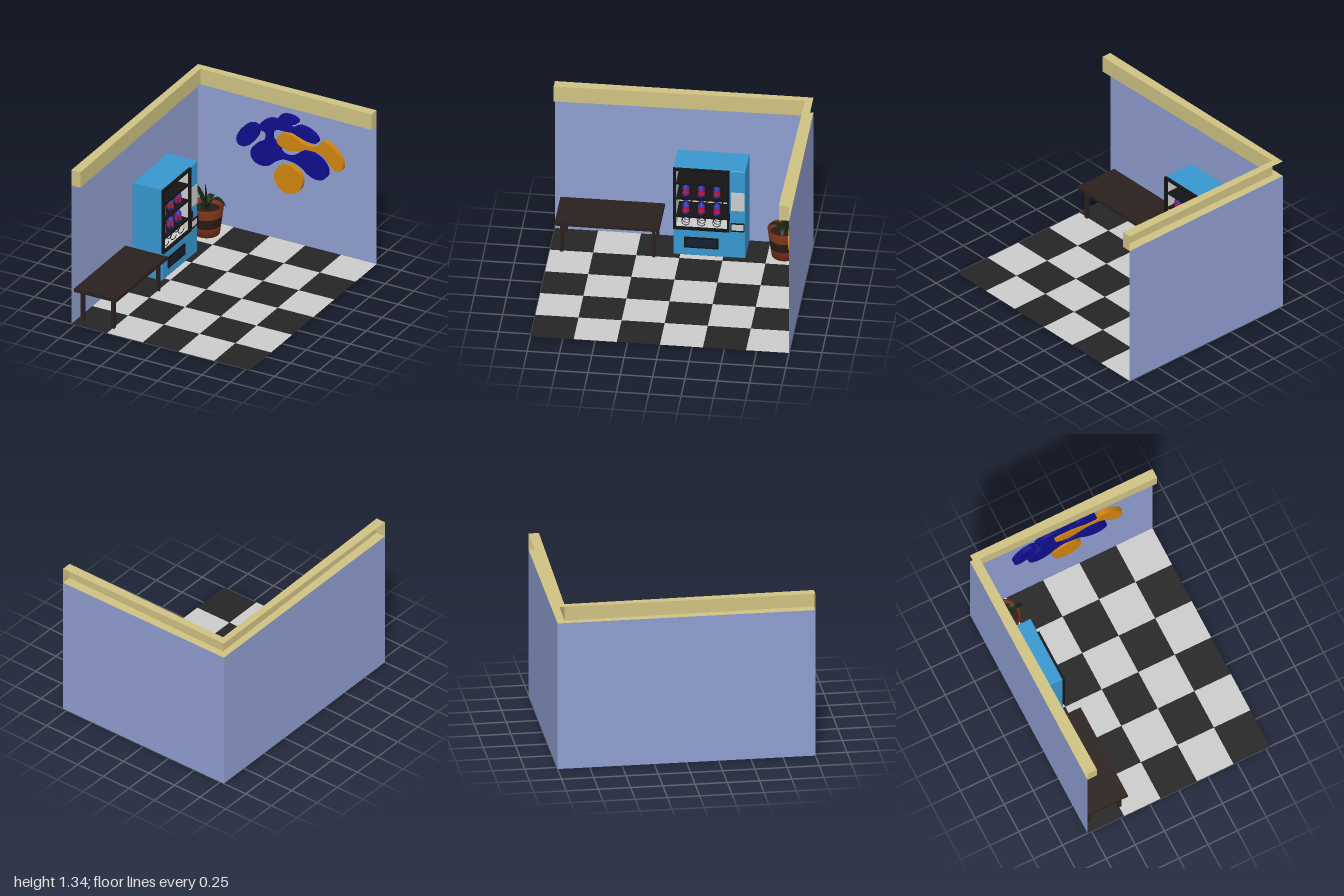
import * as THREE from 'three';

const mat = (color, double = false) =>
  new THREE.MeshStandardMaterial({ color, side: double ? THREE.DoubleSide : THREE.FrontSide });
const WALL = mat(0x8f9ed0, true), TRIM = mat(0xcfc283, true), BLUE = mat(0x3797cf), GREY = mat(0xcccccc),
  BLACK = mat(0x141414), NAVY = mat(0x0e0e8b), ORANGE = mat(0xd0840f), WOOD = mat(0x2a211e),
  CLAY = mat(0x80361c, true), BAND = mat(0x2a1c16, true), LEAF = mat(0x16240f, true),
  SLOT = mat(0x141f30), RED = mat(0xc81440), COLA = mat(0x3030b0);

function add(parent, name, geometry, material, x = 0, y = 0, z = 0) {
  const mesh = new THREE.Mesh(geometry, material);
  mesh.name = name;
  mesh.position.set(x, y, z);
  parent.add(mesh);
  return mesh;
}

// Box given by its min and max on each axis
function box(parent, name, material, [x0, x1], [y0, y1], [z0, z1]) {
  return add(parent, name, new THREE.BoxGeometry(x1 - x0, y1 - y0, z1 - z0), material,
    (x0 + x1) / 2, (y0 + y1) / 2, (z0 + z1) / 2);
}

function rectPath(x0, x1, y0, y1, Type = THREE.Shape) {
  return new Type([[x0, y0], [x1, y0], [x1, y1], [x0, y1]].map(p => new THREE.Vector2(...p)));
}

// Rectangular ring extruded along z
function frame(parent, name, material, outer, inner, z0, z1) {
  const shape = rectPath(...outer);
  shape.holes.push(rectPath(...inner, THREE.Path));
  return add(parent, name, new THREE.ExtrudeGeometry(shape, { depth: z1 - z0, bevelEnabled: false }), material, 0, 0, z0);
}

function lathe(parent, name, material, points, x, y, z, segments = 32) {
  return add(parent, name, new THREE.LatheGeometry(points.map(p => new THREE.Vector2(...p)), segments), material, x, y, z);
}

function buildRoom() {
  const room = new THREE.Group();
  room.name = 'room';
  // Checkered floor
  for (let i = 0; i < 5; i++) for (let j = 0; j < 6; j++) {
    const tile = new THREE.PlaneGeometry(0.314, 1 / 3).rotateX(-Math.PI / 2);
    add(room, 'floorTile', tile, mat((i + j) % 2 ? 0x252525 : 0xcccccc, true), (i - 2) * 0.314, 0, (j - 2.5) / 3);
  }
  // Walls
  add(room, 'backWall', new THREE.PlaneGeometry(1.57, 1.2), WALL, 0, 0.6, -1);
  add(room, 'sideWall', new THREE.PlaneGeometry(2, 1.2).rotateY(Math.PI / 2), WALL, -0.785, 0.6, 0);
  // Cornice: top and bottom plates plus an inner face, open towards the outside
  const inner = [[0.785, -1], [0.785, -0.92], [-0.73, -0.94], [-0.705, 1], [-0.785, 1]];
  const plan = new THREE.Shape([...inner, [-0.785, -1]].map(([x, z]) => new THREE.Vector2(x, -z)));
  const plate = new THREE.ShapeGeometry(plan).rotateX(-Math.PI / 2);
  add(room, 'corniceTop', plate, TRIM, 0, 1.335, 0);
  add(room, 'corniceBottom', plate, TRIM, 0, 1.2, 0);
  for (let i = 0; i < 4; i++) {
    const [ax, az] = inner[i], [bx, bz] = inner[i + 1];
    const face = new THREE.PlaneGeometry(Math.hypot(bx - ax, bz - az), 0.135);
    add(room, 'corniceFace', face, TRIM, (ax + bx) / 2, 1.2675, (az + bz) / 2)
      .rotation.y = Math.atan2(bz - az, ax - bx);
  }
  return room;
}

// Raised free-form shapes on the back wall; outlines in hundredths of a unit
function buildWallArt() {
  const art = new THREE.Group();
  art.name = 'wallArt';
  const relief = (name, shape, material) => add(art, name,
    new THREE.ExtrudeGeometry(shape, { depth: 0.042, bevelEnabled: false, curveSegments: 48 }), material, 0, 0, -0.999);
  const blob = (name, pts, material) => {
    const curve = new THREE.CatmullRomCurve3(pts.map(([x, y]) => new THREE.Vector3(x / 100, y / 100, 0)), true, 'centripetal');
    relief(name, new THREE.Shape(curve.getPoints(pts.length * 5).slice(0, -1).map(p => new THREE.Vector2(p.x, p.y))), material);
  };
  relief('orangeDisc', new THREE.Shape().absellipse(0.03, 0.56, 0.122, 0.122, 0, Math.PI * 2), ORANGE);
  relief('topOval', new THREE.Shape().absellipse(0.03, 1.075, 0.083, 0.037, 0, Math.PI * 2), NAVY);
  blob('leftOval', [[-42.5, 80], [-41, 85], [-37, 91], [-32, 95], [-27, 96], [-23.3, 93.5], [-23.5, 88.5],
    [-27, 82], [-31.5, 77], [-37, 74.7], [-41, 75.8]], NAVY);
  blob('navyRibbon', [[-23.3, 95], [-20, 100], [-13.5, 104], [-5.5, 104.4], [2, 102.5], [6, 100.8], [9.5, 103],
    [14, 104.4], [22, 102.5], [27.7, 98.3], [28.5, 94], [24.5, 92.7], [17.5, 93.6], [11, 95.8], [6, 97.3],
    [1, 96.8], [-5.5, 96.8], [-10, 94.5], [-11.7, 90], [-11, 86], [-7.5, 84], [-5, 81.5], [-4.2, 78], [-1, 75.8],
    [4, 75.6], [8.5, 77.7], [12.5, 81], [17.5, 83.6], [25, 83], [32, 79.4], [36.5, 73.5], [37, 67.6], [33, 63],
    [26, 62.2], [19.7, 65], [13.5, 69.8], [5, 72.3], [-1.2, 72.3], [-7.5, 69], [-13.5, 64], [-20, 62.2],
    [-26.5, 64], [-30, 69.3], [-29, 75], [-24.5, 80], [-19, 83.5], [-17, 87.5], [-17.2, 91.5], [-20, 92.5]], NAVY);
  blob('orangeRibbon', [[-7.1, 88], [-4.6, 92.4], [1, 95], [7, 94.6], [12.6, 91.6], [17.6, 90], [24, 89.6], [29, 91],
    [31, 94], [33.5, 96.2], [39, 95.4], [45, 90.8], [49.6, 84.5], [50.8, 78], [48, 74], [44, 74], [40, 77],
    [35.3, 82.4], [30.3, 85.3], [24, 85.8], [17.6, 85.3], [11.3, 82.4], [4.2, 81], [-2.5, 82.4], [-6.3, 84.9]], ORANGE);
  return art;
}

// Built facing +z, then turned to face +x
function buildVendingMachine() {
  const v = new THREE.Group();
  v.name = 'vendingMachine';
  const opening = [-0.03, 0.365, 0.26, 0.77];
  // Cabinet with softened edges and a window hole
  const b = 0.008, shape = rectPath(-0.05 + b, 0.505 - b, 0.006 + b, 0.79 - b);
  shape.holes.push(rectPath(-0.04, 0.375, 0.25, 0.78, THREE.Path));
  add(v, 'cabinet', new THREE.ExtrudeGeometry(shape,
    { depth: 0.251, bevelSize: b, bevelThickness: b, bevelSegments: 3 }), BLUE, 0, 0, -0.772);
  box(v, 'cabinetBack', BLUE, [-0.04, 0.38], [0.24, 0.78], [-0.779, -0.74]);
  box(v, 'windowBack', GREY, [-0.036, 0.37], [0.252, 0.776], [-0.74, -0.72]);
  frame(v, 'windowLining', GREY, [-0.036, 0.371, 0.254, 0.776], opening, -0.72, -0.52);
  frame(v, 'windowFrame', BLACK, [-0.053, 0.385, 0.24, 0.79], opening, -0.52, -0.5);
  box(v, 'doorHandle', BLACK, [0.37, 0.388], [0.35, 0.415], [-0.5, -0.49]);
  for (const y of [0.35, 0.51, 0.645])
    box(v, 'shelf', BLACK, [-0.03, 0.365], [y - 0.008, y + 0.01], [-0.72, -0.515]);
  // Dispensing coils, and bottles on the upper two of their rows
  [0.295, 0.393, 0.548].forEach((y, row) => {
    for (const x of [-0.04, -0.16, -0.28]) {
      const pts = Array.from({ length: 61 }, (_, i) => new THREE.Vector3(
        -x + 0.031 * Math.cos(i * Math.PI / 6), y + 0.031 * Math.sin(i * Math.PI / 6), -0.71 + i * 0.0031));
      add(v, 'coil', new THREE.TubeGeometry(new THREE.CatmullRomCurve3(pts), 100, 0.003, 5), BLACK);
      if (!row) continue;
      const base = row === 1 ? 0.361 : 0.521;
      lathe(v, 'bottleBase', COLA, [[0, 0], [0.024, 0], [0.028, 0.008], [0.028, 0.022]], -x, base, -0.56, 16);
      lathe(v, 'bottleLabel', RED, [[0.028, 0.022], [0.025, 0.042], [0.028, 0.064]], -x, base, -0.56, 16);
      lathe(v, 'bottleNeck', COLA, [[0.028, 0.064], [0.024, 0.08], [0.012, 0.098], [0.011, 0.108]], -x, base, -0.56, 16);
      lathe(v, 'bottleCap', NAVY, [[0.013, 0.106], [0.013, 0.118], [0, 0.118]], -x, base, -0.56, 16);
    }
  });
  // Front controls and pick-up tray
  box(v, 'keypad', GREY, [0.395, 0.498], [0.435, 0.598], [-0.52, -0.508]);
  box(v, 'coinTray', GREY, [0.4, 0.49], [0.255, 0.315], [-0.52, -0.509]);
  frame(v, 'coinTrayFrame', BLACK, [0.393, 0.499, 0.248, 0.322], [0.401, 0.491, 0.256, 0.314], -0.52, -0.503);
  box(v, 'pickupSlot', SLOT, [0.04, 0.29], [0.085, 0.165], [-0.52, -0.509]);
  frame(v, 'pickupFrame', BLACK, [0.033, 0.297, 0.077, 0.172], [0.045, 0.285, 0.089, 0.16], -0.52, -0.505);
  v.rotation.y = Math.PI / 2;
  return v;
}

function buildTable() {
  const table = new THREE.Group();
  table.name = 'table';
  box(table, 'tableTop', WOOD, [-0.784, -0.415], [0.257, 0.288], [0.15, 0.957]);
  for (const x of [-0.735, -0.467]) for (const z of [0.198, 0.908])
    box(table, 'tableLeg', WOOD, [x - 0.014, x + 0.014], [0.003, 0.257], [z - 0.013, z + 0.013]);
  return table;
}

function buildPlant() {
  const plant = new THREE.Group();
  plant.name = 'pottedPlant';
  // Tapered pot with a dark band
  const r = y => 0.1 + (y - 0.015) * 0.133;
  lathe(plant, 'potLower', CLAY, [[0, 0.015], [r(0.015), 0.015], [r(0.09), 0.09]], 0, 0, 0);
  lathe(plant, 'potBand', BAND, [[r(0.09), 0.09], [r(0.175), 0.175]], 0, 0, 0);
  lathe(plant, 'potUpper', CLAY, [[r(0.175), 0.175], [0.132, 0.255], [0.117, 0.255], [0.112, 0.21]], 0, 0, 0);
  lathe(plant, 'soil', BAND, [[0.113, 0.212], [0, 0.22]], 0, 0, 0);
  // Creased, arching leaves: tip offset, tip height, height of the arch control point
  for (const [dx, dz, tip, arch] of [[-0.12, 0, 0.435, 0.33], [0.175, 0, 0.272, 0.4], [0, 0.13, 0.265, 0.33],
    [0, -0.13, 0.275, 0.35], [-0.015, 0.004, 0.44, 0.33]]) {
    const curve = new THREE.QuadraticBezierCurve3(new THREE.Vector3(0, 0.21, 0),
      new THREE.Vector3(dx * 0.35, arch, dz * 0.35), new THREE.Vector3(dx, tip, dz));
    const side = new THREE.Vector3(-dz, 0, dx).normalize();
    const geo = new THREE.PlaneGeometry(2, 1, 2, 12), pos = geo.attributes.position;
    for (let i = 0; i < pos.count; i++) {
      const s = pos.getX(i), t = Math.min(1, Math.max(0, pos.getY(i) + 0.5));
      const w = 0.029 * Math.sin(Math.PI * (0.18 + 0.82 * t)) ** 0.8 || 0;
      const p = curve.getPoint(t).addScaledVector(side, s * w);
      pos.setXYZ(i, p.x, p.y + Math.abs(s) * w * 0.35, p.z);
    }
    geo.computeVertexNormals();
    add(plant, 'leaf', geo, LEAF);
  }
  plant.position.set(-0.595, 0, -0.8);
  return plant;
}

export function createModel() {
  const model = new THREE.Group();
  model.name = 'vendingCorner';
  model.add(buildRoom(), buildWallArt(), buildVendingMachine(), buildTable(), buildPlant());
  return model;
}
